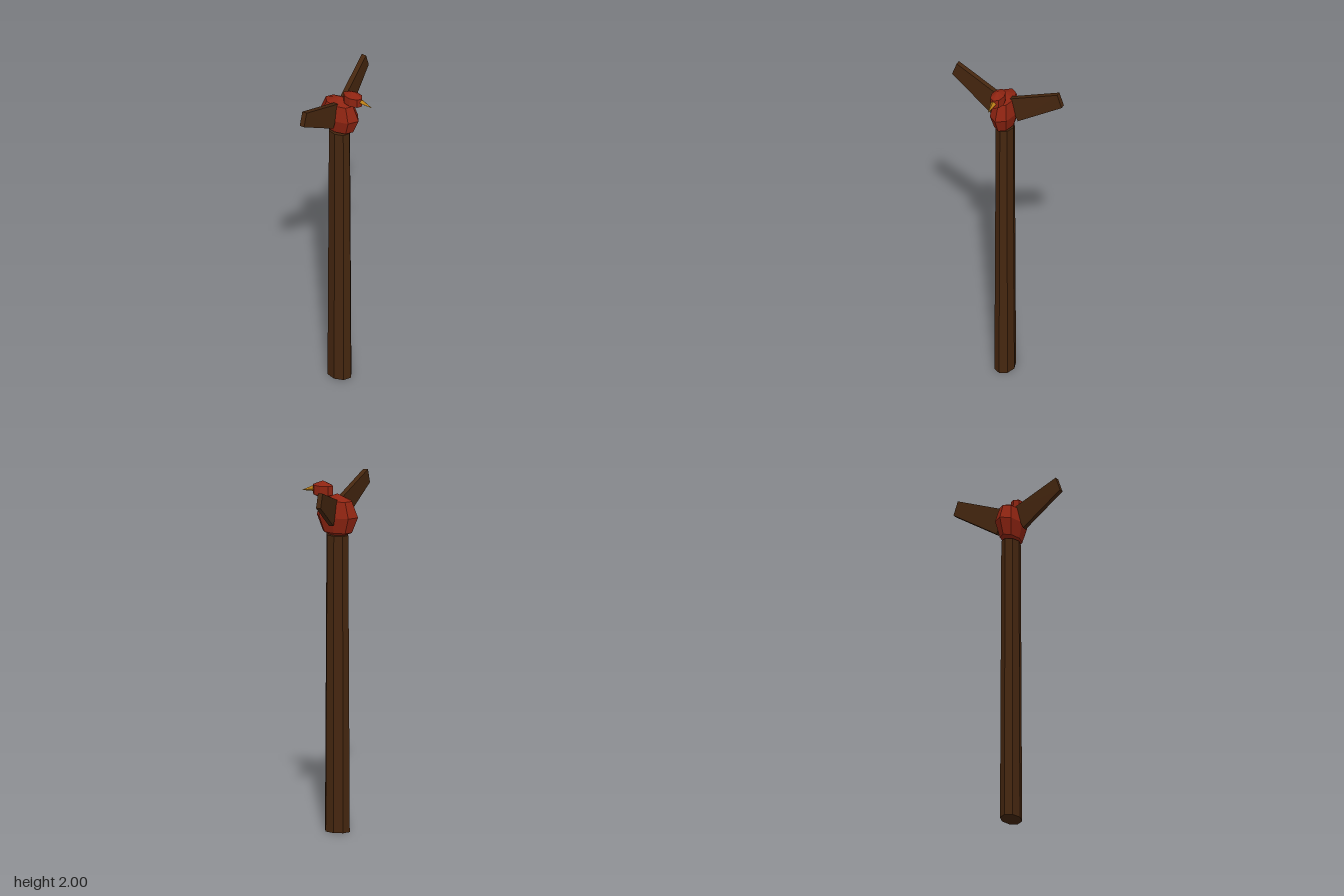
import * as THREE from 'three';
import { ConvexGeometry } from 'three/addons/geometries/ConvexGeometry.js';

const flat = (name, color) => {
  const m = new THREE.MeshStandardMaterial({ color, flatShading: true });
  m.name = name;
  return m;
};

export function createModel() {
  const group = new THREE.Group();
  group.name = 'birdPost';
  const wood = flat('dark wood', 0x45260f);
  const red = flat('red paint', 0x8e2411);
  const ochre = flat('ochre', 0xb87c16);

  const add = (name, geometry, material, x = 0, y = 0, z = 0) => {
    const mesh = new THREE.Mesh(geometry, material);
    mesh.name = name;
    mesh.position.set(x, y, z);
    group.add(mesh);
    return mesh;
  };

  // Tapered eight-sided post, flattened front to back
  add('post', new THREE.CylinderGeometry(0.066, 0.075, 1.693, 8), wood, -0.045, 0.8465)
    .scale.z = 0.76;

  // Faceted body and head
  add('body', new THREE.SphereGeometry(1, 8, 4), red, -0.045, 1.8)
    .scale.set(0.125, 0.127, 0.073);
  add('head', new THREE.SphereGeometry(1, 8, 3), red, 0.043, 1.94)
    .scale.set(0.07, 0.053, 0.043);

  // Beak, pointing along +x and slightly down
  const beak = add('beak', new THREE.ConeGeometry(0.017, 0.075, 4), ochre, 0.133, 1.935);
  beak.rotation.z = -Math.PI / 2 - 0.24;

  // Raised, swept-back wings: each corner is [x centre, y, z]
  const corners = [
    [-0.045, 1.895, 0.025], [-0.045, 1.76, 0.085],
    [-0.079, 1.92, 0.341], [-0.079, 2.0, 0.313],
  ];
  for (const side of [1, -1]) {
    const points = corners.flatMap(([x, y, z]) =>
      [-0.014, 0.014].map((dx) => new THREE.Vector3(x + dx, y, z * side)));
    add(side > 0 ? 'frontWing' : 'backWing', new ConvexGeometry(points), wood);
  }
  return group;
}
